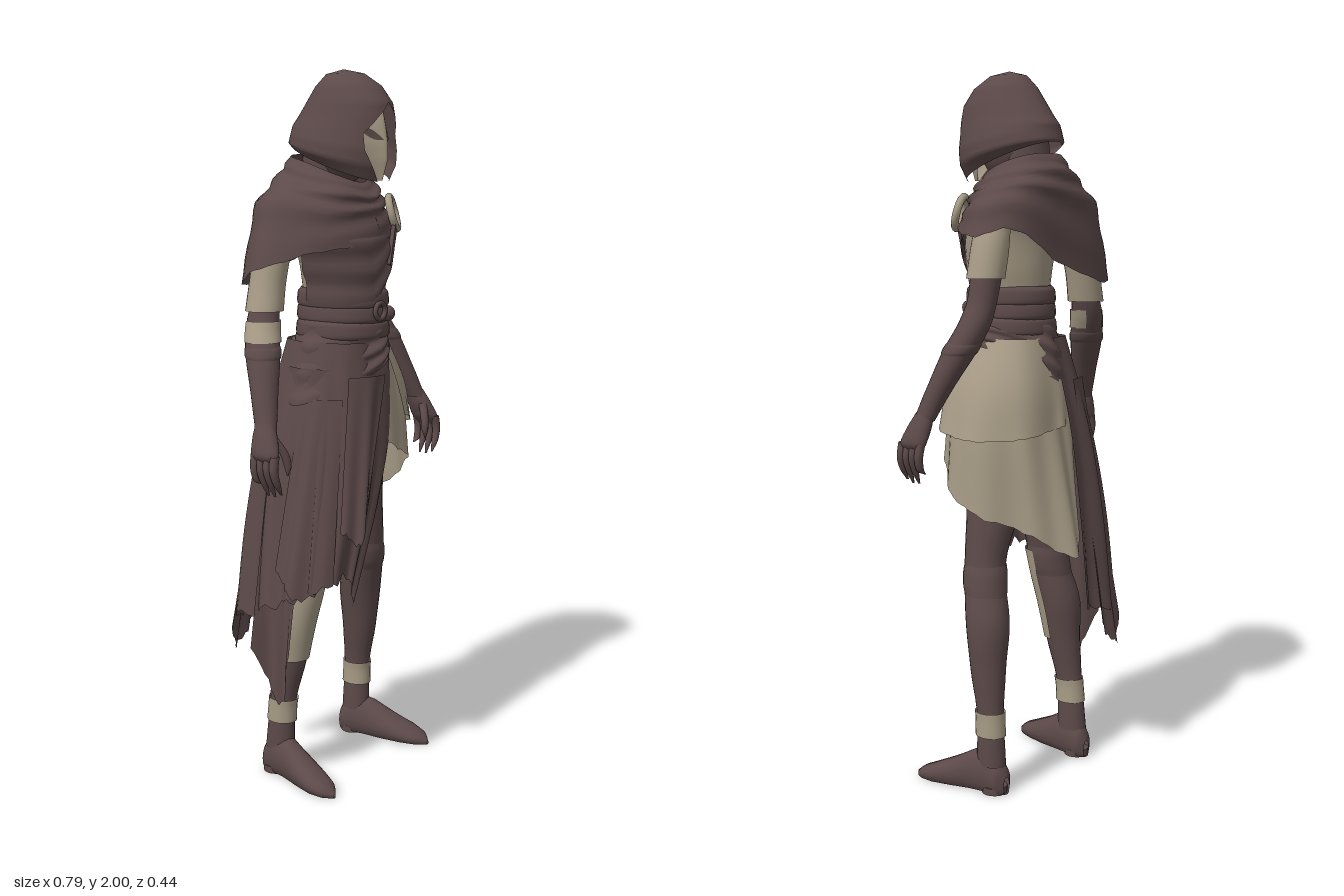
import * as THREE from 'three';
import { mergeVertices } from 'three/addons/utils/BufferGeometryUtils.js';

const mat = (name, color) => {
  const m = new THREE.MeshStandardMaterial({ color, side: THREE.DoubleSide });
  m.name = name;
  return m;
};
const V = (p) => new THREE.Vector3(...p);

export function createModel() {
  const model = new THREE.Group();
  const dark = mat('dark cloth', 0x5c4949);
  const tan = mat('pale linen', 0xa69a85);

  const add = (name, geometry, material, pos = [0, 0, 0], rot = [0, 0, 0]) => {
    const mesh = new THREE.Mesh(geometry, material);
    mesh.name = name;
    mesh.position.set(...pos);
    mesh.rotation.set(...rot);
    model.add(mesh);
    return mesh;
  };

  // Smooth surface from a rule f(u, v) -> [x, y, z]
  const surf = (name, nu, nv, f, material) => {
    const pos = [], index = [];
    for (let j = 0; j <= nv; j++) for (let i = 0; i <= nu; i++) pos.push(...f(i / nu, j / nv));
    for (let j = 0; j < nv; j++) for (let i = 0; i < nu; i++) {
      const a = j * (nu + 1) + i, b = a + nu + 1;
      index.push(a, b, a + 1, b, b + 1, a + 1);
    }
    let g = new THREE.BufferGeometry();
    g.setAttribute('position', new THREE.Float32BufferAttribute(pos, 3));
    g.setIndex(index);
    g = mergeVertices(g, 1e-4);
    g.computeVertexNormals();
    return add(name, g, material);
  };

  // Stack of level ellipses, rows of [x, y, z, rx, rz]; angle 0 faces the front
  const limb = (name, rows, material, arc = [0, Math.PI * 2], nu = 20) => {
    const centre = new THREE.CatmullRomCurve3(rows.map((r) => V(r.slice(0, 3))));
    const radius = new THREE.CatmullRomCurve3(rows.map((r) => V([r[3], r[4] ?? r[3], 0])), false, 'catmullrom', 0.4);
    return surf(name, nu, rows.length * 4, (u, v) => {
      const c = centre.getPoint(v), r = radius.getPoint(v), a = arc[0] + (arc[1] - arc[0]) * u;
      return [c.x + r.x * Math.sin(a), c.y, c.z + r.y * Math.cos(a)];
    }, material);
  };

  // Cloth through cross-section curves, with folds pushed out from the body axis
  const cloth = (name, rings, closed, material, fold, jag = 0, nu = 64) => {
    const curves = rings.map((r) => new THREE.CatmullRomCurve3(r.map(V), closed));
    return surf(name, nu, 20, (u, v) => {
      const p = new THREE.CatmullRomCurve3(curves.map((c) => c.getPoint(u))).getPoint(v);
      const d = fold(u, v), l = Math.hypot(p.x, p.z - 0.02) || 1;
      const drop = jag * v ** 5 * (Math.sin(u * 61) + Math.sin(u * 113));
      return [p.x + (d * p.x) / l, p.y + drop, p.z + (d * (p.z - 0.02)) / l];
    }, material);
  };

  // Straight-line lookup in rows keyed by the column k
  const at = (rows, y, k) => {
    let i = 0;
    while (i < rows.length - 2 && (rows[i + 1][k] - y) * (rows[i][k] - y) > 0) i++;
    const t = THREE.MathUtils.clamp((y - rows[i][k]) / (rows[i + 1][k] - rows[i][k]), 0, 1);
    return rows[i].map((n, j) => n + (rows[i + 1][j] - n) * t);
  };

  // Hood: rows of [y, rx, rz, z, half opening angle, lift at the back]
  const hoodRows = [
    [2.0, 0.002, 0.002, 0.04, 0, 0], [1.988, 0.042, 0.058, 0.045, 0, 0], [1.955, 0.072, 0.1, 0.055, 0, 0],
    [1.91, 0.09, 0.133, 0.057, 0, 0], [1.87, 0.1, 0.147, 0.05, 0.4, 0.01], [1.825, 0.112, 0.157, 0.041, 0.7, 0.03],
    [1.78, 0.122, 0.159, 0.039, 0.64, 0.055], [1.74, 0.123, 0.16, 0.033, 0.45, 0.072], [1.7, 0.1, 0.152, 0.026, 0.25, 0.105],
  ];
  surf('hood', 40, 32, (u, v) => {
    const s = v * 8, i = Math.min(7, Math.floor(s)), t = s - i;
    const [y, rx, rz, z, open, lift] = hoodRows[i].map((n, k) => n + (hoodRows[i + 1][k] - n) * t);
    const a = open + (Math.PI * 2 - 2 * open) * u;
    return [0.012 + rx * Math.sin(a), y + lift * (0.5 - 0.5 * Math.cos(a)), z + rz * Math.cos(a)];
  }, dark);
  add('head', new THREE.SphereGeometry(1, 24, 16), dark, [0.008, 1.82, 0.04]).scale.set(0.085, 0.125, 0.095);
  limb('neck', [[0, 1.82, 0, 0.07], [0, 1.72, -0.01, 0.07], [0, 1.6, 0, 0.085]], dark);

  // Ridged mask: rows of [y, half width, z at the edge, z at the ridge]
  const maskRows = [
    [1.925, 0.004, 0.15, 0.157], [1.88, 0.04, 0.138, 0.172], [1.845, 0.066, 0.12, 0.18],
    [1.8, 0.06, 0.115, 0.188], [1.76, 0.036, 0.13, 0.188], [1.705, 0.003, 0.155, 0.17],
  ];
  const maskPoint = (s, y, out = 0) => {
    const [, w, edge, ridge] = at(maskRows, y, 0);
    return [0.014 + w * s, y, edge + (ridge - edge) * (1 - Math.abs(s) ** 1.3) + out];
  };
  surf('mask', 16, 20, (u, v) => maskPoint(u * 2 - 1, 1.925 - 0.22 * v), tan);
  for (const side of [-1, 1]) {
    surf('eyeSlit', 8, 2, (u, v) =>
      maskPoint(side * (0.18 + 0.72 * u), 1.812 + 0.032 * u + (v - 0.5) * 0.024 * Math.sin(Math.PI * u), 0.004), dark);
  }

  // Torso with a wrapped front
  const body = [
    [0, 1.18, 0.035, 0.13, 0.12], [0.005, 1.3, 0.04, 0.114, 0.122], [0.005, 1.38, 0.045, 0.104, 0.118],
    [0.008, 1.46, 0.045, 0.12, 0.123], [0, 1.55, 0.04, 0.145, 0.122], [0, 1.62, 0.015, 0.148, 0.107], [0, 1.69, 0, 0.07, 0.075],
  ];
  limb('shirt', body, tan, undefined, 32);
  surf('chestWrap', 32, 16, (u, v) => {
    const a = -1.9 + 2.9 * u;
    const low = 1.37 + 0.16 * THREE.MathUtils.clamp((a + 0.25) / 1.15, 0, 1);
    const y = low + (1.63 - low) * v, [x, , z, rx, rz] = at(body, y, 1);
    const d = 0.011 + 0.004 * Math.sin(v * 22);
    return [x + (rx + d) * Math.sin(a), y, z + (rz + d) * Math.cos(a)];
  }, dark);

  // Shoulder cape, longer over the right arm and the back
  const cape = [
    [[0, 1.7, 0.11], [0.07, 1.72, 0.08], [0.09, 1.75, 0], [0.07, 1.77, -0.08], [0, 1.775, -0.1], [-0.07, 1.77, -0.08], [-0.09, 1.75, 0], [-0.07, 1.72, 0.08]],
    [[0, 1.66, 0.15], [0.09, 1.68, 0.105], [0.135, 1.7, 0], [0.1, 1.72, -0.1], [0, 1.73, -0.135], [-0.1, 1.72, -0.1], [-0.135, 1.7, 0], [-0.09, 1.68, 0.12]],
    [[0, 1.62, 0.16], [0.125, 1.63, 0.1], [0.205, 1.65, -0.02], [0.15, 1.67, -0.115], [0, 1.65, -0.148], [-0.165, 1.64, -0.125], [-0.212, 1.655, -0.03], [-0.13, 1.62, 0.11]],
    [[0, 1.54, 0.175], [0.145, 1.575, 0.115], [0.25, 1.55, -0.03], [0.18, 1.57, -0.12], [0.03, 1.48, -0.152], [-0.2, 1.42, -0.145], [-0.285, 1.47, -0.03], [-0.17, 1.52, 0.105]],
  ];
  cloth('shoulderCape', cape, true, dark, (u, v) => 0.007 * Math.sin(v * 24 + 2 * Math.sin(u * Math.PI * 2)) * Math.sin(Math.PI * v), 0.002);
  add('broochRing', new THREE.TorusGeometry(0.045, 0.011, 10, 32), tan, [0.115, 1.615, 0.134], [-0.3, 0.5, 0]);
  add('broochStrap', new THREE.BoxGeometry(0.026, 0.12, 0.012), dark, [0.072, 1.53, 0.162], [0.05, 0.4, -0.4]);

  // Waist bands, buckle and slanting hip sash
  for (const [y, w] of [[1.385, 0.111], [1.345, 0.112], [1.3, 0.12]]) {
    limb('waistBand', [[0.005, y + 0.028, 0.043, w - 0.006, 0.122], [0.005, y + 0.015, 0.043, w + 0.002, 0.133],
      [0.005, y - 0.015, 0.043, w + 0.004, 0.135], [0.005, y - 0.03, 0.043, w - 0.004, 0.124]], dark, undefined, 32);
  }
  add('buckle', new THREE.TorusGeometry(0.022, 0.007, 8, 20), dark, [-0.01, 1.355, 0.184]);
  add('beltKnot', new THREE.SphereGeometry(0.022, 12, 8), dark, [0.035, 1.345, 0.175]);
  cloth('hipSash', [
    [[0, 1.31, 0.172], [0.125, 1.32, 0.04], [0, 1.31, -0.088], [-0.12, 1.31, 0.035]],
    [[0, 1.25, 0.187], [0.143, 1.285, 0.04], [0, 1.23, -0.115], [-0.152, 1.21, 0.03]],
    [[0, 1.2, 0.19], [0.15, 1.25, 0.04], [0, 1.15, -0.13], [-0.185, 1.1, 0.03]],
  ], true, dark, (u, v) => 0.005 * Math.sin(v * 18 + 3 * Math.sin(u * Math.PI * 2)));

  // Pale skirt on the left, in two tiers, ending in a point at the back
  const pleats = (k, d) => (u, v) => d * v * Math.sin(u * k);
  const skirtTop = [[0.03, 1.27, 0.165], [0.1, 1.27, 0.125], [0.135, 1.27, 0.03], [0.1, 1.27, -0.07], [0.01, 1.27, -0.095], [-0.07, 1.27, -0.08]];
  cloth('paleSkirt', [skirtTop,
    [[0.035, 1.1, 0.176], [0.13, 1.1, 0.16], [0.205, 1.08, 0.03], [0.14, 1.06, -0.1], [0.02, 1.06, -0.13], [-0.08, 1.06, -0.115]],
    [[0.04, 0.98, 0.178], [0.15, 0.92, 0.165], [0.23, 0.81, 0.03], [0.14, 0.74, -0.125], [0.02, 0.665, -0.215], [-0.045, 0.76, -0.155]],
  ], false, tan, pleats(42, 0.006), 0.002);
  cloth('paleSkirtUpperTier', [skirtTop,
    [[0.08, 1.14, 0.18], [0.15, 1.14, 0.155], [0.205, 1.13, 0.03], [0.15, 1.13, -0.1], [0.02, 1.13, -0.13], [-0.06, 1.13, -0.115]],
    [[0.11, 1.05, 0.185], [0.19, 1.02, 0.15], [0.245, 1.0, 0.03], [0.18, 1.0, -0.11], [0.03, 1.02, -0.148], [-0.04, 1.03, -0.135]],
  ], false, tan, pleats(30, 0.005), 0.001);

  // Long dark skirt on the right
  cloth('darkSkirt', [
    [[0.05, 1.27, 0.17], [-0.08, 1.27, 0.15], [-0.125, 1.27, 0.08], [-0.13, 1.27, 0], [-0.09, 1.27, -0.08], [-0.01, 1.27, -0.1]],
    [[0.04, 1, 0.18], [-0.09, 1, 0.185], [-0.18, 1, 0.11], [-0.2, 1, 0], [-0.15, 1, -0.13], [-0.02, 1, -0.155]],
    [[0.01, 0.84, 0.17], [-0.11, 0.82, 0.19], [-0.215, 0.8, 0.12], [-0.235, 0.78, 0], [-0.18, 0.75, -0.16], [-0.04, 0.75, -0.17]],
    [[-0.035, 0.5, 0.11], [-0.13, 0.62, 0.165], [-0.25, 0.6, 0.13], [-0.275, 0.55, 0.02], [-0.21, 0.47, -0.17], [-0.06, 0.5, -0.175]],
  ], false, dark, pleats(52, 0.013), 0.008);
  // Loose hanging panels: left edge, fold and right edge, from top to hem
  const panels = [
    [[[-0.11, 1.18, 0.15], [-0.06, 1.18, 0.18], [0, 1.18, 0.185]], [[-0.17, 0.76, 0.17], [-0.13, 0.73, 0.208], [-0.08, 0.85, 0.19]]],
    [[[-0.12, 1.12, 0.14], [-0.155, 1.12, 0.09], [-0.165, 1.12, 0.04]], [[-0.2, 0.62, 0.17], [-0.285, 0.59, 0.1], [-0.265, 0.66, 0.03]]],
    [[[-0.18, 0.95, 0.07], [-0.2, 0.95, 0], [-0.19, 0.95, -0.05]], [[-0.24, 0.4, 0.05], [-0.23, 0.25, 0.01], [-0.275, 0.42, -0.05]]],
    [[[-0.14, 1.15, -0.09], [-0.1, 1.15, -0.11], [-0.06, 1.15, -0.12]], [[-0.24, 0.45, -0.15], [-0.19, 0.36, -0.185], [-0.12, 0.44, -0.18]]],
  ];
  for (const p of panels) cloth('hangingPanel', p, false, dark, (u, v) => 0.01 + 0.006 * v * Math.sin(u * 14), 0.006, 16);

  // Legs, ankle wraps and shoes; the right leg stands further in, its knee bent forward
  const legRows = [
    [0.08, 1.2, 0.03, 0.08, 0.1], [0.09, 1, 0.02, 0.085, 0.1], [0.13, 0.8, 0, 0.07, 0.08], [0.16, 0.66, 0.003, 0.056, 0.062],
    [0.172, 0.59, -0.005, 0.056, 0.06], [0.193, 0.48, -0.033, 0.06, 0.063], [0.203, 0.35, -0.043, 0.047, 0.052],
    [0.21, 0.22, -0.057, 0.034, 0.04], [0.21, 0.08, -0.06, 0.036, 0.045],
  ];
  const shoe = [
    [-0.112, 0.205, 0.012, 0.05], [-0.1, 0.207, 0.032, 0.085], [-0.06, 0.21, 0.04, 0.12], [-0.01, 0.218, 0.041, 0.115],
    [0.05, 0.231, 0.047, 0.082], [0.11, 0.245, 0.047, 0.054], [0.155, 0.252, 0.034, 0.034], [0.182, 0.255, 0.004, 0.012],
  ];
  const armRows = [
    [0.15, 1.64, -0.035, 0.02], [0.168, 1.61, -0.04, 0.042], [0.19, 1.53, -0.045, 0.046], [0.209, 1.45, -0.047, 0.043],
    [0.224, 1.38, -0.045, 0.041], [0.245, 1.32, -0.037, 0.045], [0.274, 1.25, -0.012, 0.047], [0.317, 1.14, 0.03, 0.036], [0.345, 1.06, 0.058, 0.026, 0.031],
  ].map((r) => [...r.slice(0, 4), r[4] ?? r[3]]);
  for (const side of [1, -1]) {
    const word = side > 0 ? 'left' : 'right';
    const legX = (x, y) => side * x + (side < 0 ? 0.047 * Math.max(0, 1 - y ** 3) : 0);
    const legRow = (y, grow) => {
      const [x, , z, rx, rz] = at(legRows, y, 1);
      const bend = side < 0 && y < 1 ? 0.022 * Math.sin(Math.PI * y) : 0;
      return [legX(x, y), y, z + bend, rx + grow, rz + grow];
    };
    limb(word + 'Leg', legRows.map((r) => legRow(r[1], 0)), dark);
    limb(word + 'AnkleWrap', [0.235, 0.21, 0.165].map((y) => legRow(y, 0.004)), tan);
    limb(word + 'KneeBand', [0.64, 0.615, 0.58, 0.555].map((y, i) => legRow(y, i % 3 ? 0.004 : 0)), dark);
    if (side < 0) limb('shinWrap', [0.63, 0.55, 0.45, 0.36].map((y) => legRow(y, 0.006)), tan, [-1.4, 1.5]);
    surf(word + 'Shoe', 18, 28, (u, v) => {
      const [z, x, w, h] = at(shoe, -0.112 + 0.294 * v, 0), a = u * Math.PI * 2;
      return [legX(x, 0) + w * Math.cos(a), Math.max(0, h * (0.42 + 0.58 * Math.sin(a))), z];
    }, dark);
    add(word + 'Heel', new THREE.CylinderGeometry(0.036, 0.036, 0.02, 16), dark, [legX(0.21, 0), 0.01, -0.072]);

    // Arms and sleeves
    const armRow = (y, grow) => {
      const [x, , z, rx, rz] = at(armRows, y, 1);
      return [side * x, y, z, rx + grow, rz + grow];
    };
    limb(word + 'Arm', armRows.map((r) => armRow(r[1], 0)), dark);
    limb(word + 'Sleeve', (side > 0 ? [1.58, 1.54, 1.5, 1.44] : [1.58, 1.51, 1.43, 1.36]).map((y, i) => armRow(y, 0.004 + 0.002 * i)), tan);
    if (side < 0) limb('elbowWrap', [1.335, 1.31, 1.28].map((y) => armRow(y, 0.004)), tan, [-2.2, 2.2]);
    limb(word + 'ForearmCuff', [1.27, 1.26, 1.245, 1.235].map((y, i) => armRow(y, i % 3 ? 0.003 : 0)), dark);

    // Hands
    limb(word + 'Palm', [[side * 0.345, 1.08, 0.055, 0.022, 0.027], [side * 0.357, 1.04, 0.065, 0.027, 0.038],
      [side * 0.37, 1, 0.075, 0.023, 0.044], [side * 0.373, 0.975, 0.078, 0.006, 0.03]], dark);
    for (let i = 0; i < 4; i++) {
      const z = 0.045 + i * 0.022, tip = 0.895 - 0.01 * Math.sin(i) + (i === 0 ? 0.02 : 0);
      limb(word + 'Finger', [[side * 0.373, 1.0, z, 0.013], [side * 0.379, 0.96, z + 0.002, 0.012],
        [side * 0.369, 0.925, z + 0.004, 0.01], [side * 0.352, tip, z + 0.005, 0.003]], dark, undefined, 8);
    }
    limb(word + 'Thumb', [[side * 0.345, 1.04, 0.085, 0.013], [side * 0.327, 1.0, 0.105, 0.012],
      [side * 0.32, 0.965, 0.112, 0.01], [side * 0.322, 0.94, 0.112, 0.002]], dark, undefined, 8);
  }
  return model;
}
